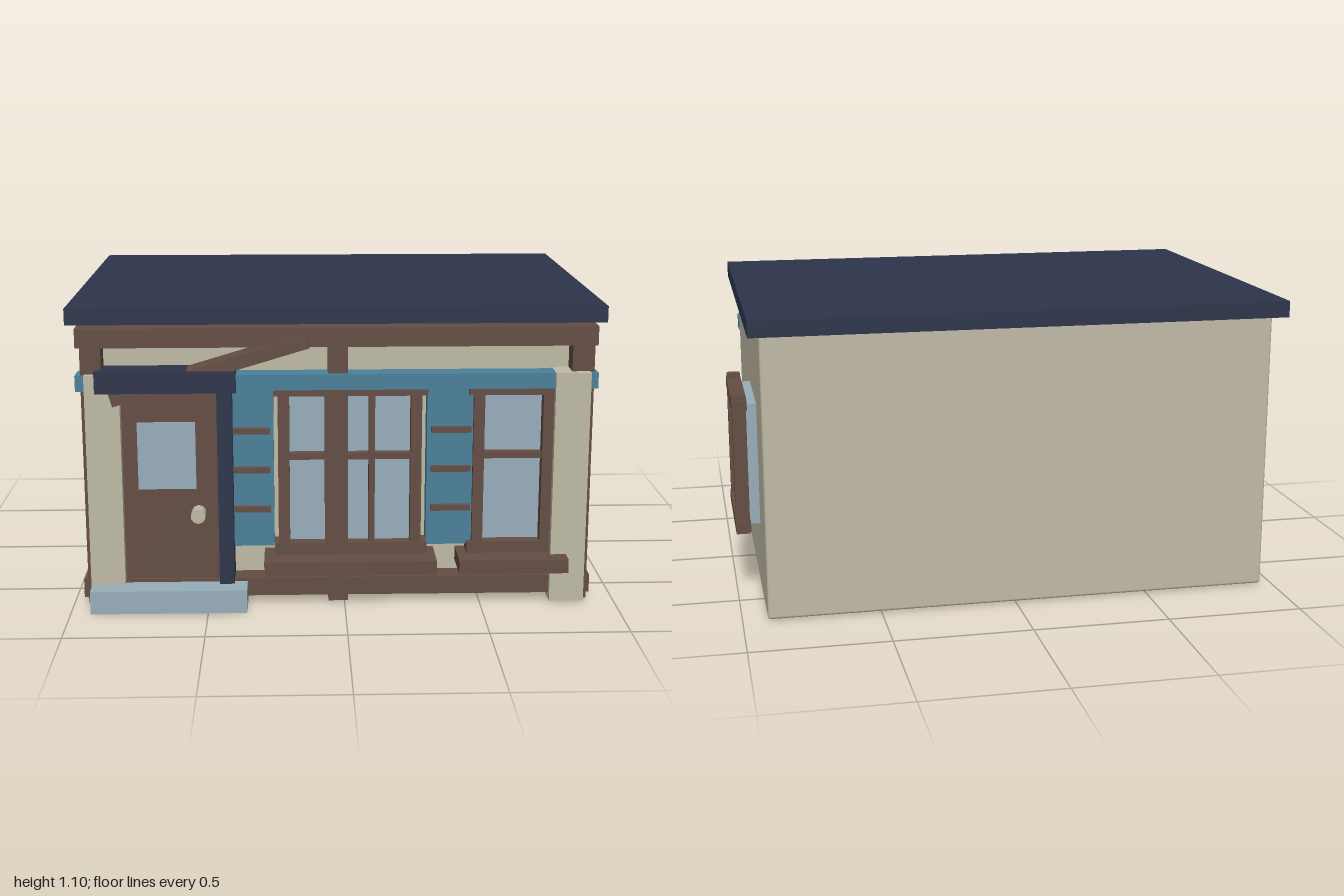
import * as THREE from 'three';
import { RoundedBoxGeometry } from 'three/addons/geometries/RoundedBoxGeometry.js';

const material = (name, color) => {
  const m = new THREE.MeshStandardMaterial({ color });
  m.name = name;
  return m;
};

export function createModel() {
  const cream = material('cream plaster', 0xbfbaa5);
  const brown = material('brown timber', 0x644d44);
  const navy = material('navy roofing', 0x2d354b);
  const blue = material('blue paint', 0x4a8099);
  const glass = material('pale blue glass', 0x98adba);

  const model = new THREE.Group();
  model.name = 'house';

  // Box given by its extents on each axis
  const box = (parent, name, mat, [x0, x1], [y0, y1], [z0, z1]) => {
    const mesh = new THREE.Mesh(new THREE.BoxGeometry(x1 - x0, y1 - y0, z1 - z0), mat);
    mesh.position.set((x0 + x1) / 2, (y0 + y1) / 2, (z0 + z1) / 2);
    mesh.name = name;
    parent.add(mesh);
    return mesh;
  };
  const group = (name) => {
    const g = new THREE.Group();
    g.name = name;
    model.add(g);
    return g;
  };

  // Walls and flat roof
  const walls = new THREE.Mesh(new RoundedBoxGeometry(1.865, 1.035, 1.32, 2, 0.01), cream);
  walls.position.set(-0.0225, 0.5225, -0.07);
  walls.name = 'walls';
  model.add(walls);
  box(model, 'roof', navy, [-1, 0.95], [1.04, 1.1], [-0.775, 0.63]);

  // Timber framing on the facade
  const frame = group('timberFrame');
  const Z = 0.58;
  box(frame, 'topBeam', brown, [-0.96, 0.91], [0.965, 1.035], [Z, 0.675]);
  box(frame, 'bottomBeam', brown, [-0.96, 0.91], [0.03, 0.098], [Z, 0.675]);
  for (const [x0, x1] of [[-0.945, -0.87], [-0.06, 0.012], [0.82, 0.9]])
    box(frame, 'post', brown, [x0, x1], [0.005, 1.03], [Z, 0.67]);
  box(frame, 'paintedBand', blue, [-0.963, 0.913], [0.81, 0.867], [0.6, 0.685]);

  // Plaster pilasters at both ends
  box(model, 'leftPilaster', cream, [0.758, 0.885], [0.005, 0.87], [Z, 0.7]);
  box(model, 'rightPilaster', cream, [-0.93, -0.805], [0.005, 0.87], [Z, 0.7]);

  // Door, canopy, step and slanted brace
  const entrance = group('entrance');
  box(entrance, 'door', brown, [-0.81, -0.45], [0.08, 0.815], [Z, 0.66]);
  box(entrance, 'doorWindow', glass, [-0.75, -0.54], [0.44, 0.69], [0.655, 0.666]);
  box(entrance, 'canopy', navy, [-0.893, -0.39], [0.805, 0.885], [Z, 0.706]);
  box(entrance, 'canopyPost', navy, [-0.46, -0.405], [0.08, 0.81], [Z, 0.702]);
  box(entrance, 'doorstep', glass, [-0.927, -0.358], [0, 0.086], [Z, 0.775]);
  const knob = new THREE.Mesh(new THREE.CylinderGeometry(0.027, 0.027, 0.06, 10), cream);
  knob.rotation.x = Math.PI / 2;
  knob.position.set(-0.533, 0.35, 0.688);
  knob.name = 'doorKnob';
  entrance.add(knob);
  const brace = box(entrance, 'brace', brown, [-0.853, -0.117], [0.86, 0.908], [0.6, 0.702]);
  brace.rotation.z = 0.29;

  // Shutters with three slats each
  for (const [x0, x1] of [[-0.41, -0.258], [0.3, 0.472]]) {
    const shutter = group('shutter');
    box(shutter, 'panel', blue, [x0, x1], [0.215, 0.815], [Z, 0.65]);
    const end = x1 - 0.012;
    for (const y of [0.36, 0.508, 0.655])
      box(shutter, 'slat', brown, [end - 0.145, end], [y - 0.01, y + 0.01], [0.64, 0.672]);
  }

  // Front windows: glass, stiles, rails and a deep sill
  const frontWindow = (name, x0, x1, stiles, rail, sill) => {
    const w = group(name);
    box(w, 'pane', glass, [x0, x1], [0.2, 0.8], [Z, 0.625]);
    for (const s of stiles) box(w, 'stile', brown, s, [0.19, 0.8], [Z, 0.67]);
    box(w, 'topRail', brown, rail, [0.785, 0.808], [Z, 0.675]);
    box(w, 'bottomRail', brown, rail, [0.185, 0.23], [Z, 0.675]);
    box(w, 'crossBar', brown, [x0, x1], [0.545, 0.568], [Z, 0.66]);
    box(w, 'sill', brown, sill, [0.135, 0.187], [Z, 0.762]);
  };
  frontWindow('wideWindow', -0.24, 0.28,
    [[-0.242, -0.2], [-0.072, 0.012], [0.088, 0.11], [0.24, 0.28]], [-0.257, 0.302], [-0.295, 0.333]);
  frontWindow('narrowWindow', 0.47, 0.76,
    [[0.468, 0.508], [0.72, 0.76]], [0.45, 0.765], [0.415, 0.815]);

  // Side window standing proud of the wall
  const side = group('sideWindow');
  box(side, 'pane', glass, [0.9, 0.95], [0.277, 0.733], [-0.445, -0.065]);
  for (const z of [[-0.09, -0.05], [-0.457, -0.417]])
    box(side, 'stile', brown, [0.948, 0.998], [0.243, 0.77], z);
  for (const y of [[0.254, 0.294], [0.715, 0.752]])
    box(side, 'rail', brown, [0.945, 1], y, [-0.47, -0.038]);
  box(side, 'mullion', brown, [0.94, 0.985], [0.28, 0.73], [-0.264, -0.241]);

  return model;
}
